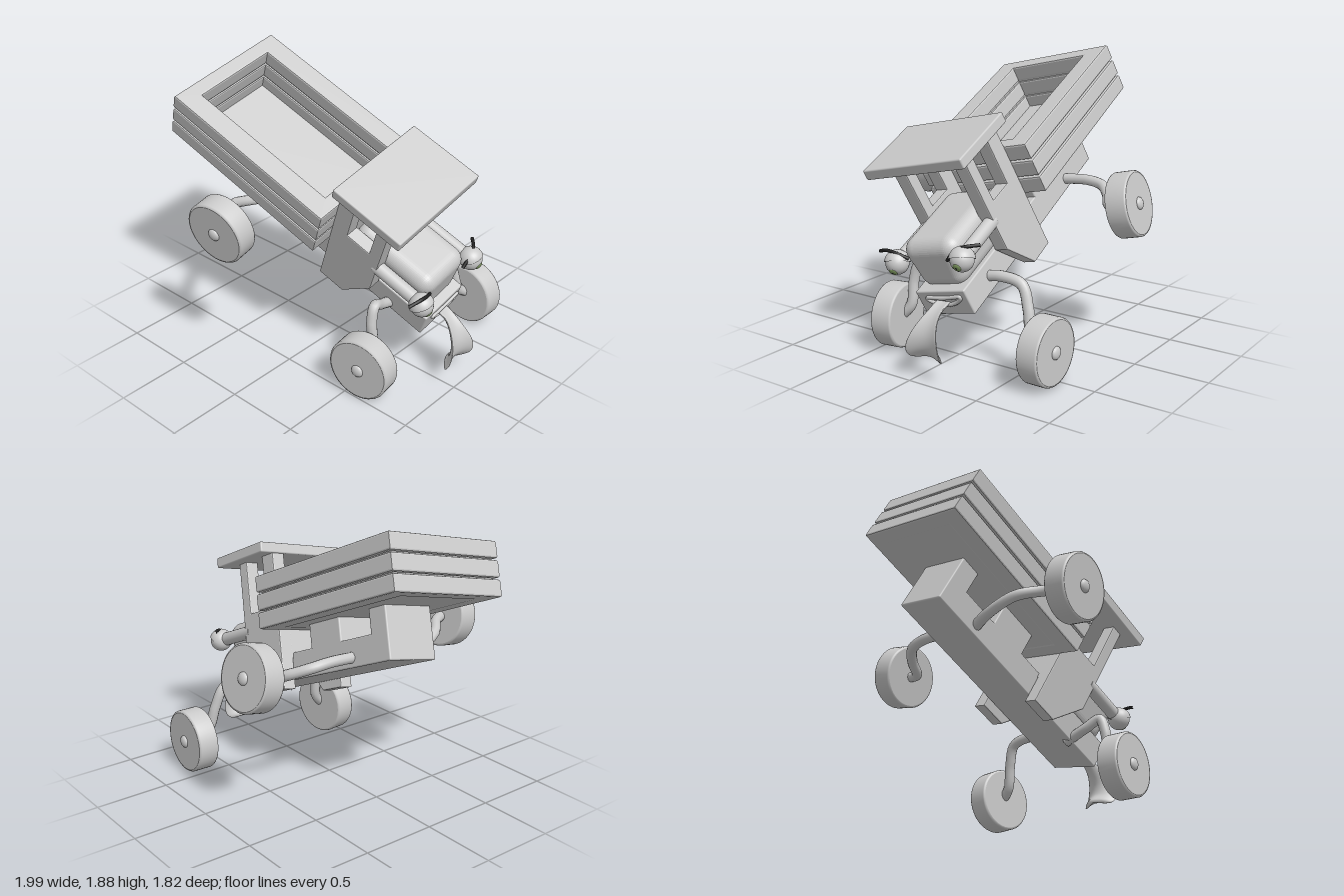
import * as THREE from 'three';
import { RoundedBoxGeometry } from 'three/addons/geometries/RoundedBoxGeometry.js';
import { ParametricGeometry } from 'three/addons/geometries/ParametricGeometry.js';

const grey = new THREE.MeshStandardMaterial({ color: 0xcccccc });
const black = new THREE.MeshStandardMaterial({ color: 0x222222 });
const green = new THREE.MeshStandardMaterial({ color: 0x7f9a60 });
const V = (p) => new THREE.Vector3(...p);

function add(parent, name, geometry, material = grey) {
  const mesh = new THREE.Mesh(geometry, material);
  mesh.name = name;
  parent.add(mesh);
  return mesh;
}

// Soft-edged box given by its limits along each axis
function block(parent, name, [x0, x1], [y0, y1], [z0, z1], r = 0.01) {
  const mesh = add(parent, name, new RoundedBoxGeometry(x1 - x0, y1 - y0, z1 - z0, 3, r));
  mesh.position.set((x0 + x1) / 2, (y0 + y1) / 2, (z0 + z1) / 2);
  return mesh;
}

const rect = (C, x0, x1, y0, y1) => {
  const s = new C();
  s.moveTo(x0, y0);
  s.lineTo(x1, y0);
  s.lineTo(x1, y1);
  s.lineTo(x0, y1);
  s.closePath();
  return s;
};

// Flat rectangular frame lying at height y0..y1
function frame(parent, name, inset, y0, y1, bevel) {
  const i = inset + bevel;
  const shape = rect(THREE.Shape, -1.51 + i, -0.23 - i, -0.445 + i, 0.445 - i);
  shape.holes.push(rect(THREE.Path, -1.415, -0.315, -0.312, 0.312));
  const geo = new THREE.ExtrudeGeometry(shape, {
    depth: y1 - y0 - 2 * bevel, bevelEnabled: bevel > 0, bevelSize: bevel, bevelThickness: bevel, bevelSegments: 2,
  });
  geo.translate(0, 0, bevel);
  geo.rotateX(-Math.PI / 2);
  add(parent, name, geo).position.y = y0;
}

function tube(parent, name, points, radius, material = grey) {
  const curve = new THREE.CatmullRomCurve3(points.map(V));
  return add(parent, name, new THREE.TubeGeometry(curve, 32, radius, 12), material);
}

// Wheel with a rounded tread edge and a hub cap on its outer side
function wheel(parent, name, center, axis) {
  const g = new THREE.Group();
  g.name = name;
  const profile = [[0, -0.072], [0.2, -0.072], [0.209, -0.069], [0.214, -0.06], [0.214, 0.06], [0.209, 0.069], [0.2, 0.072], [0, 0.072]];
  // Separate lathes for faces and tread keep the edges crisp
  for (const part of [profile.slice(0, 2), profile.slice(1, 7), profile.slice(6)])
    add(g, 'tyre', new THREE.LatheGeometry(part.map(([r, y]) => new THREE.Vector2(r, y)), 48));
  const hub = add(g, 'hubCap', new THREE.SphereGeometry(0.042, 20, 12));
  hub.position.y = 0.072;
  hub.scale.y = 0.55;
  g.position.copy(V(center));
  g.quaternion.setFromUnitVectors(new THREE.Vector3(0, 1, 0), V(axis).normalize());
  parent.add(g);
}

export function createModel() {
  const model = new THREE.Group();

  // Truck body: local x forward, y up, z across; nose down and leaning
  const body = new THREE.Group();
  body.name = 'body';
  const f = V([0.916, -0.394, -0.082]).normalize();
  const s = V([-0.004, -0.213, 0.977]).normalize();
  const u = s.clone().cross(f).normalize();
  s.crossVectors(f, u);
  body.quaternion.setFromRotationMatrix(new THREE.Matrix4().makeBasis(f, u, s));
  body.position.set(0, 0.045, -0.205);
  model.add(body);

  // Load bed: three plank frames with recessed joints and a floor
  for (let i = 0; i < 3; i++) {
    const y = 0.94 + i * 0.12;
    frame(body, 'bedPlank', 0, y, y + 0.11, 0.012);
    if (i < 2) frame(body, 'bedJoint', 0.03, y + 0.09, y + 0.14, 0);
  }
  block(body, 'bedFloor', [-1.45, -0.28], [0.943, 0.965], [-0.35, 0.35], 0.005);

  // Chassis beam and the uprights carrying the bed
  block(body, 'chassis', [-1.15, 0.55], [0.61, 0.79], [-0.19, 0.19]);
  for (const [a, b] of [[-1.15, -1.0], [-0.72, -0.42]])
    block(body, 'bedSupport', [a, b], [0.77, 0.95], [-0.19, 0.19]);

  // Cab sides with window posts
  const side = new THREE.Shape([
    [-0.23, 0.55], [-0.03, 0.55], [0.155, 0.79], [0.155, 1.46], [0.07, 1.46],
    [0.07, 1.1], [-0.11, 1.1], [-0.11, 1.46], [-0.23, 1.46],
  ].map((p) => new THREE.Vector2(...p)));
  const sideGeo = new THREE.ExtrudeGeometry(side, {
    depth: 0.08, bevelSize: 0.008, bevelOffset: -0.008, bevelThickness: 0.008, bevelSegments: 2,
  });
  sideGeo.translate(0, 0, -0.04);
  for (const k of [-1, 1]) add(body, 'cabSide', sideGeo).position.z = k * 0.242;
  block(body, 'cabBack', [-0.23, -0.18], [0.75, 1.0], [-0.21, 0.21]);
  block(body, 'cabRoof', [-0.24, 0.285], [1.455, 1.525], [-0.385, 0.385]);

  // Hood, narrowing towards its base
  const hoodGeo = new RoundedBoxGeometry(0.62, 0.34, 0.41, 6, 0.085);
  const pos = hoodGeo.attributes.position;
  for (let i = 0; i < pos.count; i++) {
    const t = THREE.MathUtils.clamp((0.08 - pos.getY(i)) / 0.25, 0, 1);
    pos.setZ(i, pos.getZ(i) * (1 - 0.22 * t));
  }
  hoodGeo.computeVertexNormals();
  add(body, 'hood', hoodGeo).position.set(0.185, 0.925, 0);

  // Headlamp eyes on stalks, with lids and irises
  for (const k of [1, -1]) {
    const stalk = add(body, 'eyeStalk', new THREE.CylinderGeometry(0.045, 0.045, 0.36, 24));
    stalk.rotation.z = -Math.PI / 2;
    stalk.position.set(0.3, 0.985, k * 0.25);
    const eye = new THREE.Group();
    eye.name = 'eye';
    eye.position.set(0.505, 0.985, k * 0.255);
    body.add(eye);
    add(eye, 'eyeball', new THREE.SphereGeometry(0.074, 28, 20));
    const lid = add(eye, 'eyelid', new THREE.SphereGeometry(0.082, 28, 14, 0, Math.PI * 2, 0, Math.PI * 0.48),
      new THREE.MeshStandardMaterial({ color: 0xcccccc, side: THREE.DoubleSide }));
    lid.rotation.z = 0.7;
    const look = V(k > 0 ? [0.95, -0.33, 0.016] : [0.97, -0.1, 0]).normalize();
    for (const [name, r, d, mat] of [['iris', 0.027, 0.068, green], ['pupil', 0.011, 0.075, black]]) {
      const disc = add(eye, name, new THREE.SphereGeometry(r, 20, 12), mat);
      disc.scale.z = 0.4;
      disc.position.copy(look).multiplyScalar(d);
      disc.quaternion.setFromUnitVectors(new THREE.Vector3(0, 0, 1), look);
    }
  }

  // Smiling lips on the chassis front
  const lips = [];
  for (let i = 0; i < 20; i++) {
    const t = (i / 20) * Math.PI * 2, z = 0.13 * Math.cos(t);
    lips.push(V([0.555, 0.715 + 0.026 * Math.sin(t) + 1.6 * z * z, z - 0.015]));
  }
  add(body, 'lips', new THREE.TubeGeometry(new THREE.CatmullRomCurve3(lips, true), 64, 0.013, 10, true));

  // Tongue: cupped strip widening along a hanging curve
  const mid = new THREE.CatmullRomCurve3(
    [[0.76, 0.46, -0.11], [0.85, 0.42, -0.105], [0.91, 0.35, -0.095], [0.938, 0.27, -0.09], [0.93, 0.2, -0.085], [0.885, 0.145, -0.085]].map(V));
  const tongue = new ParametricGeometry((p, q, out) => {
    const c = mid.getPoint(q), t = mid.getTangent(q);
    const grow = 0.045 + 0.085 * THREE.MathUtils.smoothstep(q, 0.15, 0.85);
    const w = grow * Math.sqrt(Math.max(0, 1 - Math.max(0, (q - 0.75) / 0.25) ** 4));
    const across = Math.cos(p * Math.PI * 2);
    const th = 0.018 * Math.sin(p * Math.PI * 2) * Math.min(1, w / 0.04) + 0.05 * across * across * (w / 0.12);
    out.set(c.x - t.y * th, c.y + t.x * th, c.z + across * w);
  }, 28, 32);
  add(model, 'tongue', tongue, new THREE.MeshStandardMaterial({ color: 0xcccccc, side: THREE.DoubleSide }));

  // Eyebrows
  tube(model, 'eyebrow', [[0.85, 0.71, 0.11], [0.885, 0.742, 0.18], [0.89, 0.75, 0.25], [0.86, 0.725, 0.33]], 0.011, black);
  tube(model, 'eyebrow', [[0.87, 0.76, -0.2], [0.88, 0.83, -0.26], [0.86, 0.86, -0.32], [0.8, 0.87, -0.39]], 0.011, black);

  // Bendy legs and wheels: wheel centre, outward axis, leg path
  const limbs = [
    ['frontRight', [0.595, 0.215, 0.43], [0.13, -0.02, 0.99],
      [[0.5, 0.46, 0.02], [0.52, 0.52, 0.18], [0.55, 0.565, 0.28], [0.56, 0.47, 0.315], [0.58, 0.3, 0.325], [0.595, 0.22, 0.39]]],
    ['frontLeft', [0.595, 0.225, -0.715], [0.02, 0.01, -1],
      [[0.55, 0.58, -0.2], [0.54, 0.605, -0.36], [0.53, 0.575, -0.5], [0.55, 0.44, -0.56], [0.575, 0.29, -0.6], [0.595, 0.23, -0.68]]],
    ['rearRight', [-0.26, 1.04, 0.8], [0.1, -0.17, 0.98],
      [[-0.46, 0.93, 0.12], [-0.51, 0.96, 0.32], [-0.47, 1.02, 0.5], [-0.36, 1.05, 0.62], [-0.27, 1.045, 0.76]]],
    ['rearLeft', [-0.26, 0.95, -0.79], [-0.09, 0.23, -0.97],
      [[-0.46, 1.0, -0.15], [-0.47, 1.015, -0.36], [-0.45, 1.0, -0.48], [-0.37, 0.96, -0.57], [-0.27, 0.92, -0.64], [-0.25, 0.94, -0.76]]],
  ];
  for (const [name, center, axis, path] of limbs) {
    wheel(model, name + 'Wheel', center, axis);
    tube(model, name + 'Leg', path, 0.035);
  }
  return model;
}
